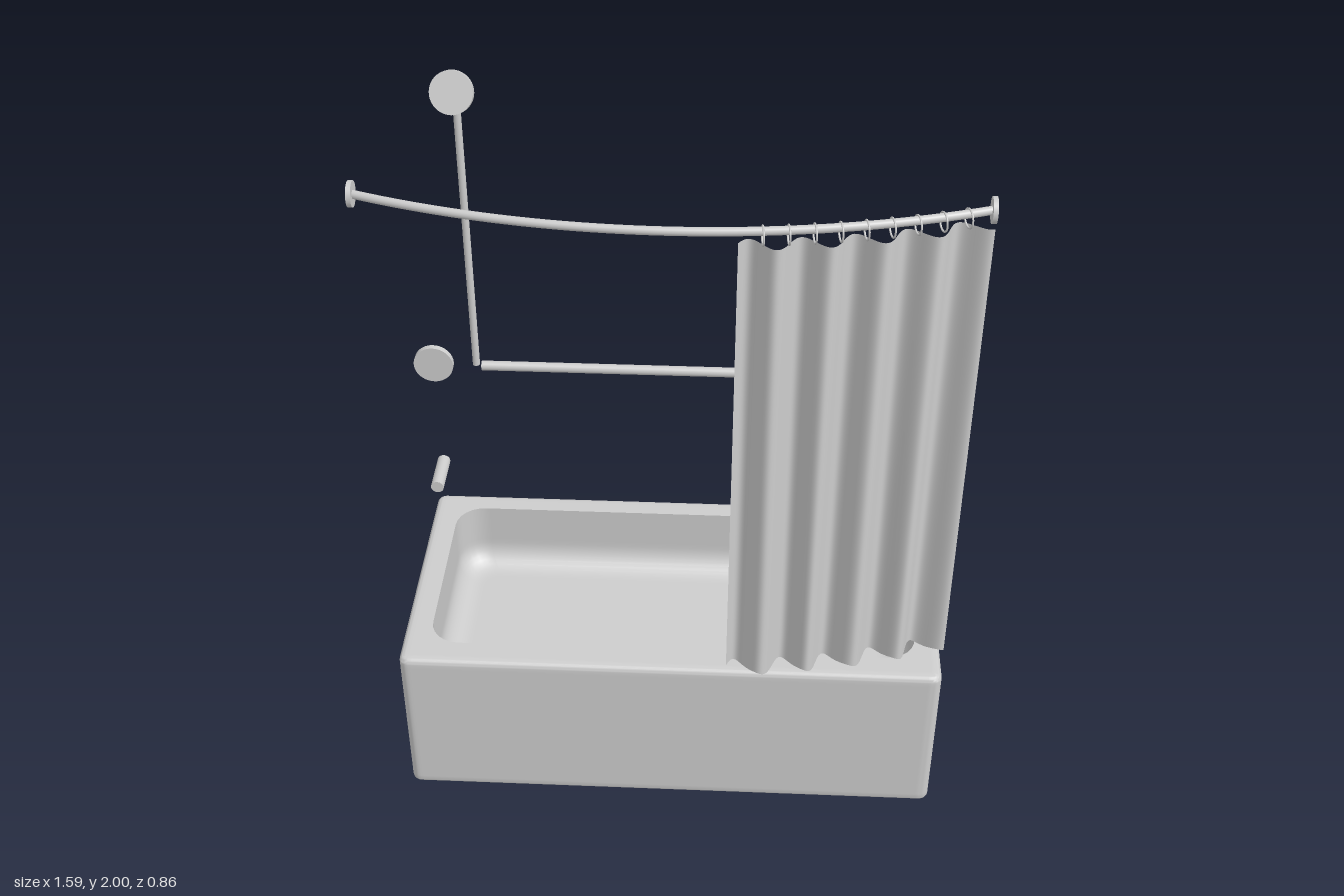
import * as THREE from 'three';
import { toCreasedNormals } from 'three/addons/utils/BufferGeometryUtils.js';

const material = new THREE.MeshStandardMaterial({ color: 0xcccccc, side: THREE.DoubleSide });
material.name = 'light grey';

function part(name, geometry) {
  const mesh = new THREE.Mesh(geometry, material);
  mesh.name = name;
  return mesh;
}

// Cylinder centred at a point, with its axis along a direction
function rod(name, radius, length, centre, axis, sides = 32) {
  const mesh = part(name, new THREE.CylinderGeometry(radius, radius, length, sides));
  mesh.position.set(...centre);
  mesh.quaternion.setFromUnitVectors(new THREE.Vector3(0, 1, 0), new THREE.Vector3(...axis).normalize());
  return mesh;
}

// Outline of a rounded rectangle, with extra points beside each corner
function roundedLoop({ cx, cz, hx, hz, r, y }) {
  const points = [];
  const signs = [[1, 1], [-1, 1], [-1, -1], [1, -1]];
  const edge = Math.min(0.01, hx - r, hz - r);
  signs.forEach(([sx, sz], k) => {
    for (let i = -1; i <= 7; i++) {
      const a = (k + Math.min(Math.max(i, 0), 6) / 6) * Math.PI / 2;
      let x = cx + sx * (hx - r) + r * Math.cos(a);
      let z = cz + sz * (hz - r) + r * Math.sin(a);
      const s = i < 0 ? -edge : i > 6 ? edge : 0;
      x -= s * Math.sin(a);
      z += s * Math.cos(a);
      points.push([x, y, z]);
    }
  });
  return points;
}

// Skin joining a stack of loops
function loft(loops) {
  const n = loops[0].length, index = [];
  for (let i = 0; i < loops.length - 1; i++) {
    for (let j = 0; j < n; j++) {
      const k = (j + 1) % n;
      const a = i * n + j, b = a + n, c = i * n + k, d = c + n;
      index.push(a, b, c, c, b, d);
    }
  }
  const g = new THREE.BufferGeometry();
  g.setAttribute('position', new THREE.Float32BufferAttribute(loops.flat(2), 3));
  g.setIndex(index);
  return toCreasedNormals(g, 0.6);
}

// Tub: rounded block outside, filleted basin inside
function makeTub() {
  const loops = [];
  const outer = (inset, y) => loops.push(roundedLoop({
    cx: 0.0115, cz: -0.036, hx: 0.7785 - inset, hz: 0.389 - inset, r: 0.028 - Math.min(inset, 0.02), y }));
  const inner = (inset, y) => loops.push(roundedLoop({
    cx: 0.015, cz: -0.0425, hx: 0.705 - inset, hz: 0.3125 - inset, r: 0.085 - inset * 0.5, y }));
  const centre = y => loops.push(roundedLoop({ cx: 0.015, cz: -0.04, hx: 0, hz: 0, r: 0, y }));
  const e = 0.018, top = 0.505, floor = 0.29, f = 0.075;

  centre(0);
  outer(e + 0.012, 0);
  for (let i = 0; i <= 6; i++) {
    const a = i / 6 * Math.PI / 2;
    outer(e * (1 - Math.sin(a)), e * (1 - Math.cos(a)));
  }
  outer(0, e + 0.012);
  outer(0, top - e - 0.012);
  for (let i = 0; i <= 6; i++) {
    const a = i / 6 * Math.PI / 2;
    outer(e * (1 - Math.cos(a)), top - e * (1 - Math.sin(a)));
  }
  outer(e + 0.012, top);
  inner(0, top);
  inner(0, floor + f + 0.015);
  for (let i = 0; i <= 8; i++) {
    const a = i / 8 * Math.PI / 2;
    inner(f * (1 - Math.cos(a)), floor + f * (1 - Math.sin(a)));
  }
  inner(f + 0.015, floor);
  centre(floor);
  return part('tub', loft(loops));
}

// Bowed rail path; offset moves outward from the rail
const R = 2.2, MID = 0.0125, RAIL_Y = 1.968;
function railPoint(x, y = RAIL_Y, offset = 0) {
  const a = Math.asin((x - MID) / R);
  return new THREE.Vector3(x + offset * Math.sin(a), y, 0.41 - R * (1 - Math.cos(a)) + offset * Math.cos(a));
}

function makeRail() {
  const group = new THREE.Group();
  group.name = 'curtainRail';
  const points = [];
  for (let i = 0; i <= 24; i++) points.push(railPoint(-0.76 + 1.545 * i / 24));
  group.add(part('rail', new THREE.TubeGeometry(new THREE.CatmullRomCurve3(points), 64, 0.011, 16)));
  for (const x of [-0.762, 0.784]) {
    group.add(rod('railFlange', 0.033, 0.012, railPoint(x).toArray(), [1, 0, 0]));
  }
  // Hanging rings
  for (let i = 0; i < 9; i++) {
    const x = 0.235 + i * 0.061;
    const ring = part('curtainRing', new THREE.TorusGeometry(0.024, 0.0025, 8, 24));
    ring.position.copy(railPoint(x, 1.956));
    ring.rotation.y = Math.PI / 2 + Math.asin((x - MID) / R);
    group.add(ring);
  }
  return group;
}

// Pleated curtain following the rail
function makeCurtain() {
  const g = new THREE.PlaneGeometry(1, 1, 120, 16);
  const p = g.attributes.position;
  for (let i = 0; i < p.count; i++) {
    const u = p.getX(i) + 0.5, v = p.getY(i) + 0.5;
    const x = 0.178 + 0.6 * u;
    const phase = (x - 0.267) / 0.127 * Math.PI * 2;
    const depth = 0.032 - 0.004 * v;
    const y = 0.57 + 1.362 * v + 0.005 * (1 - v) * Math.cos(phase * 2 + 1);
    const q = railPoint(x + 0.003 * (1 - v) * Math.sin(phase * 0.5), y, depth * Math.cos(phase));
    p.setXYZ(i, q.x, q.y, q.z);
  }
  g.computeVertexNormals();
  return part('curtain', g);
}

export function createModel() {
  const model = new THREE.Group();
  model.name = 'bathtubWithShower';
  model.add(makeTub(), makeRail(), makeCurtain());

  // Shower fittings on the back wall
  model.add(rod('showerRiser', 0.011, 0.9, [-0.612, 1.465, -0.419], [0, 1, 0], 20));
  model.add(rod('showerHead', 0.06, 0.025, [-0.612, 1.938, -0.361], [0, 0.36, 0.93], 40));
  model.add(rod('grabBar', 0.015, 1.212, [0.011, 1.013, -0.415], [1, 0, 0], 24));
  model.add(rod('controlDial', 0.06, 0.019, [-0.743, 1.012, -0.42], [0, 0, 1], 40));
  model.add(rod('spout', 0.02, 0.14, [-0.743, 0.63, -0.367], [0, 0, 1], 24));
  return model;
}
